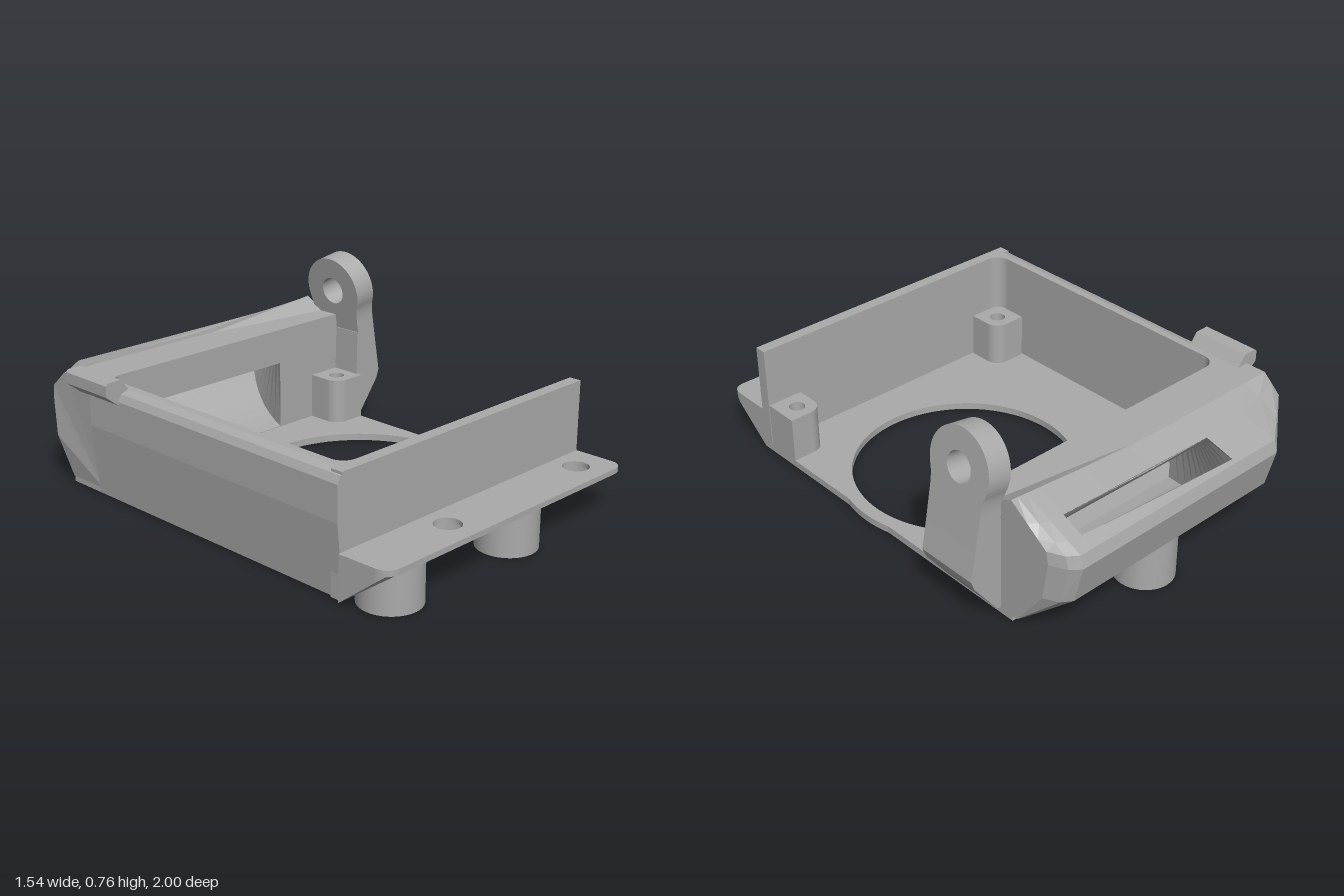
import * as THREE from 'three';

const grey = new THREE.MeshStandardMaterial({ color: 0xaaaaaa, side: THREE.DoubleSide });
grey.name = 'grey plastic';

function add(group, name, geometry, x = 0, y = 0, z = 0, turn = 0) {
  const mesh = new THREE.Mesh(geometry, grey);
  mesh.name = name;
  mesh.position.set(x, y, z);
  mesh.rotation.y = turn;
  group.add(mesh);
  return mesh;
}
const outline = (pts) => new THREE.Shape(pts.map(([a, b]) => new THREE.Vector2(a, b)));
const circle = (x, y, r) => new THREE.Path().absarc(x, y, r, 0, Math.PI * 2, true);
const extrude = (shape, depth, curveSegments = 24) =>
  new THREE.ExtrudeGeometry(shape, { depth, bevelEnabled: false, curveSegments });
// Plan shape (x, -z) raised to a slab of the given height
const slab = (shape, height) => extrude(shape, height, 40).rotateX(-Math.PI / 2);
const lerp = THREE.MathUtils.lerp;

// Rear housing: one side profile, point [x, y, z], for any station x
function housingPoint(x, j) {
  const t = Math.max(0, (x - 0.05) / 0.58);
  const top = 0.48 + 0.05 * t;
  const slope = (z) => lerp(top, 0.41, (z + 0.72) / -0.265);
  const slotBack = -0.965 + 0.035 * (x + 0.24) / 0.74;
  const profile = [
    [-0.54, 0.03], [-0.54, 0.04], [-0.54, 0.33], [-0.54, 0.48], [-0.71 + 0.08 * t, 0.48],
    [-0.72, top], [-0.84, slope(-0.84)], [slotBack, slope(slotBack)], [-0.985, 0.41],
    [-1, 0.36], [-0.96, 0.2], [-0.77, 0.03],
  ];
  let [z, y] = profile[j];
  // Chamfer the right rear corner, round the left one
  let k = 1;
  if (x < -0.46) k = lerp(1, 0.29, (-0.46 - x) / 0.26);
  if (x > 0.56) k = 1 - 0.35 * ((x - 0.56) / 0.07) ** 2;
  if (z < -0.72) z = -0.72 + (z + 0.72) * k;
  return [x < -0.7 && y < 0.1 ? x + 0.03 : x, y, z];
}

function housingGeometry() {
  const xs = [-0.72, -0.6, -0.46, -0.4, -0.24, 0.05, 0.28, 0.5, 0.56, 0.6, 0.63];
  const n = 12, pos = [];
  const tri = (...pts) => pts.forEach((p) => pos.push(...p));
  for (let i = 0; i < xs.length - 1; i++) {
    for (let j = 0; j < n; j++) {
      const window = j === 1 && xs[i] >= -0.4 && xs[i + 1] <= 0.28;
      const slot = j === 6 && xs[i] >= -0.24 && xs[i + 1] <= 0.5;
      if (window || slot) continue;
      const k = (j + 1) % n;
      const a = housingPoint(xs[i], j), b = housingPoint(xs[i], k);
      const c = housingPoint(xs[i + 1], k), d = housingPoint(xs[i + 1], j);
      tri(a, d, c);
      tri(a, c, b);
    }
  }
  const l = 0.63, r = -0.72;
  for (let j = 1; j < n - 1; j++) {
    tri(housingPoint(l, 0), housingPoint(l, j + 1), housingPoint(l, j));
    tri(housingPoint(r, 0), housingPoint(r, j), housingPoint(r, j + 1));
  }
  const g = new THREE.BufferGeometry();
  g.setAttribute('position', new THREE.Float32BufferAttribute(pos, 3));
  g.computeVertexNormals();
  return g;
}

// Curved duct from the window in the rear wall up to the slot
function ductGeometry() {
  const V = (p) => new THREE.Vector3(...p);
  const rail = (wx, wy, control, sx, sj) => new THREE.QuadraticBezierCurve3(
    V([wx, wy, -0.54]), V([(wx + sx) / 2, ...control]), V(housingPoint(sx, sj)));
  const upper = [0.3, -0.76], lower = [0.08, -0.9];
  const rails = [
    rail(-0.4, 0.04, lower, -0.24, 7), rail(0.28, 0.04, lower, 0.5, 7),
    rail(0.28, 0.33, upper, 0.5, 6), rail(-0.4, 0.33, upper, -0.24, 6),
  ].map((c) => c.getPoints(12));
  const pos = [];
  for (let s = 0; s < 4; s++) {
    const p = rails[s], q = rails[(s + 1) % 4];
    for (let i = 0; i < 12; i++) {
      for (const v of [p[i], q[i], q[i + 1], p[i], q[i + 1], p[i + 1]]) pos.push(v.x, v.y, v.z);
    }
  }
  const g = new THREE.BufferGeometry();
  g.setAttribute('position', new THREE.Float32BufferAttribute(pos, 3));
  g.computeVertexNormals();
  return g;
}

export function createModel() {
  const model = new THREE.Group();
  model.name = 'fan mount tray';

  // Floor with the large round opening and its bulging rim
  const floor = new THREE.Shape();
  floor.moveTo(-0.69, -0.78);
  floor.lineTo(0.63, -0.78);
  floor.absarc(0.135, -0.09, 0.51, -0.243, 0.243, false);
  floor.lineTo(0.63, 0.73);
  floor.lineTo(-0.69, 0.73);
  floor.holes.push(circle(0.135, -0.09, 0.455), circle(-0.55, 0.64, 0.075));
  add(model, 'floor', slab(floor, 0.029), 0, 0.008, 0);

  // Walls
  add(model, 'frontWall', new THREE.BoxGeometry(1.33, 0.472, 0.05), -0.035, 0.244, 0.755);
  const side = outline([[-0.69, 0.008], [-0.64, 0.008], [-0.64, 0.48], [-0.67, 0.48],
    [-0.705, 0.468], [-0.72, 0.44], [-0.72, 0.3]]);
  add(model, 'sideWall', extrude(side, 1.34), 0, 0, -0.56);
  const fillet = new THREE.Shape();
  fillet.moveTo(0, 0);
  fillet.lineTo(0.06, 0);
  fillet.absarc(0.06, 0.06, 0.06, -Math.PI / 2, -Math.PI, true);
  add(model, 'frontFillet', slab(fillet, 0.45), -0.64, 0.03, 0.73);
  add(model, 'rearFillet', slab(fillet, 0.45), -0.64, 0.03, -0.54, -Math.PI / 2);

  // Corner screw posts, rounded towards the middle
  const post = new THREE.Shape();
  post.moveTo(-0.08, -0.08);
  post.lineTo(0.075, -0.08);
  post.lineTo(0.075, 0.015);
  post.absarc(0.015, 0.015, 0.06, 0, Math.PI / 2, false);
  post.lineTo(-0.08, 0.075);
  post.holes.push(circle(0, 0, 0.033));
  const postGeometry = slab(post, 0.195);
  [[-0.555, 0.645, 0], [0.55, 0.645, 1], [0.55, -0.46, 2], [-0.555, -0.46, 3]].forEach(
    ([x, z, q]) => add(model, 'screwPost', postGeometry, x, 0.035, z, q * Math.PI / 2));

  // Front shelf: thin top plate over a sloped wedge with screw pockets
  const shelf = () => {
    const s = new THREE.Shape();
    s.moveTo(-0.715, -0.78);
    s.lineTo(-0.71, -0.94);
    s.quadraticCurveTo(-0.705, -1, -0.65, -1);
    s.lineTo(0.57, -1);
    s.quadraticCurveTo(0.63, -1, 0.63, -0.94);
    s.lineTo(0.63, -0.78);
    return s;
  };
  const plate = shelf(), wedge = shelf();
  for (const x of [-0.27, 0.487]) {
    plate.holes.push(circle(x, -0.88, 0.053));
    wedge.holes.push(circle(x, -0.88, 0.095));
  }
  for (const x of [-0.565, 0.07]) wedge.holes.push(circle(x, -0.88, 0.095));
  add(model, 'shelfPlate', slab(plate, 0.02), 0, 0.17, 0);
  const wedgeGeometry = slab(wedge, 0.17);
  const wp = wedgeGeometry.attributes.position;
  for (let i = 0; i < wp.count; i++) {
    if (wp.getY(i) < 0.1) wp.setY(i, Math.min(0.168, 0.008 + (wp.getZ(i) - 0.78) * 0.8));
  }
  wedgeGeometry.computeVertexNormals();
  add(model, 'shelfWedge', wedgeGeometry);

  // Hollow feet under the shelf
  const foot = new THREE.LatheGeometry([[0, 0.09], [0.08, 0.09], [0.08, 0.09], [0.08, 0], [0.08, 0],
    [0.12, 0], [0.12, 0], [0.12, 0.175]].map(([r, y]) => new THREE.Vector2(r, y)), 40);
  for (const x of [-0.565, 0.07]) add(model, 'frontFoot', foot, x, 0, 0.88);

  // Rear housing with duct and a foot trimmed to its sloped underside
  add(model, 'rearHousing', housingGeometry());
  add(model, 'duct', ductGeometry());
  const rearFoot = new THREE.CylinderGeometry(0.12, 0.12, 1, 40, 1).translate(0.07, 0.5, -0.84);
  const fp = rearFoot.attributes.position;
  for (let i = 0; i < fp.count; i++) {
    if (fp.getY(i) > 0.5) fp.setY(i, Math.max(0.035, 0.04 + (-0.77 - fp.getZ(i)) * 0.9));
  }
  add(model, 'rearFoot', rearFoot);

  // Hinge arm: tilted eye plate on a wedge-shaped root
  const root = outline([[0.62, 0.03], [0.65, 0.04], [0.755, 0.18], [0.77, 0.22], [0.735, 0.42], [0.63, 0.42]]);
  add(model, 'armRoot', extrude(root, 0.26), 0, 0, -0.67);
  const eye = new THREE.Shape();
  eye.moveTo(-0.13, -0.35);
  eye.lineTo(0.13, -0.35);
  eye.lineTo(0.13, -0.13);
  eye.quadraticCurveTo(0.13, -0.08, 0.142, -0.05);
  eye.absarc(0, 0, 0.15, -0.34, Math.PI + 0.34, false);
  eye.quadraticCurveTo(-0.13, -0.08, -0.13, -0.13);
  eye.holes.push(circle(0, 0, 0.06));
  const arm = add(model, 'armEye', extrude(eye, 0.1).translate(0, 0, -0.05).rotateY(Math.PI / 2), 0.655, 0.6, -0.54);
  arm.rotation.z = 0.165;

  // Small catch on the side wall
  const catchShape = outline([[-0.775, 0.47], [-0.7, 0.41], [-0.66, 0.47], [-0.705, 0.525], [-0.765, 0.525], [-0.775, 0.515]]);
  add(model, 'catch', extrude(catchShape, 0.25), 0, 0, -0.63);

  return model;
}
